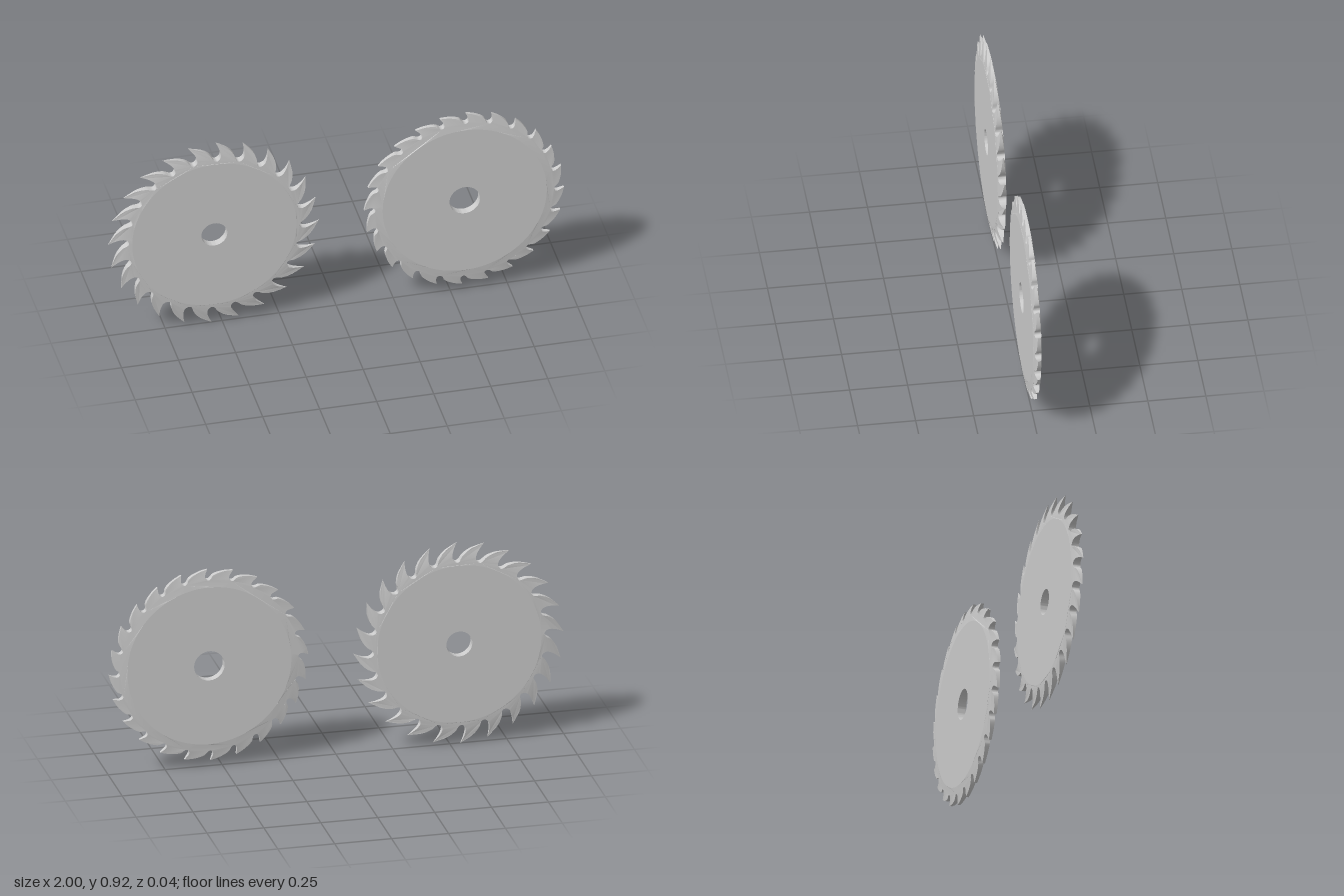
import * as THREE from 'three';
import { toCreasedNormals } from 'three/addons/utils/BufferGeometryUtils.js';

const TEETH = 24;
const PLATE_RADIUS = 0.36;
const HALF = 0.018;
const material = new THREE.MeshStandardMaterial({ color: 0xcccccc });

const polar = (deg, r) => {
  const a = THREE.MathUtils.degToRad(deg);
  return new THREE.Vector2(r * Math.cos(a), r * Math.sin(a));
};

// Flat disc with the arbor hole
function makePlate(hole) {
  const profile = [
    [PLATE_RADIUS, HALF], [hole, HALF], [hole, -HALF], [PLATE_RADIUS, -HALF],
  ].map(([r, y]) => new THREE.Vector2(r, y));
  const geo = new THREE.LatheGeometry(profile, 96).rotateX(Math.PI / 2);
  const mesh = new THREE.Mesh(toCreasedNormals(geo, 0.6), material);
  mesh.name = 'bladePlate';
  return mesh;
}

// Toothed rim, thinning from the plate towards the tips
function makeTeeth(tooth, tipHalf) {
  const pitch = 360 / TEETH;
  const tip = tooth[0][1];
  // One tooth from tip, down the hooked face, round the gullet and up the next back
  const curve = new THREE.SplineCurve(
    [...tooth, [pitch, tip]].map(([deg, r]) => polar(deg, r)));
  const step = curve.getPoints(20).slice(0, -1);

  const outline = [];
  for (let i = 0; i < TEETH; i++) {
    const turn = THREE.MathUtils.degToRad(i * pitch - 1);
    for (const p of step) outline.push(p.clone().rotateAround(new THREE.Vector2(), turn));
  }
  const shape = new THREE.Shape(outline);
  const inner = [];
  for (let i = 0; i < 96; i++) inner.push(polar(-i * 3.75, PLATE_RADIUS));
  shape.holes.push(new THREE.Path(inner));

  const geo = new THREE.ExtrudeGeometry(shape, { depth: 1, bevelEnabled: false });
  const pos = geo.attributes.position;
  for (let i = 0; i < pos.count; i++) {
    const r = Math.hypot(pos.getX(i), pos.getY(i));
    const u = THREE.MathUtils.clamp((r - PLATE_RADIUS) / (tip - PLATE_RADIUS), 0, 1);
    const half = tipHalf + (HALF - tipHalf) * (1 - Math.pow(u, 1.4));
    pos.setZ(i, pos.getZ(i) > 0.5 ? half : -half);
  }
  const mesh = new THREE.Mesh(toCreasedNormals(geo, 0.5), material);
  mesh.name = 'bladeTeeth';
  return mesh;
}

function makeBlade(name, x, y, hole, tooth, tipHalf) {
  const blade = new THREE.Group();
  blade.name = name;
  blade.add(makePlate(hole), makeTeeth(tooth, tipHalf));
  blade.position.set(x, y, 0);
  return blade;
}

export function createModel() {
  const model = new THREE.Group();
  model.name = 'circularSawBlades';

  // Tooth outlines as [degrees from tip, radius]
  const longTooth = [
    [0, 0.462], [-2, 0.432], [-3.2, 0.405], [-3, 0.387], [-1.4, 0.375],
    [0.6, 0.375], [2, 0.386], [3.6, 0.404], [8, 0.432],
  ];
  const shortTooth = [
    [0, 0.438], [-1.2, 0.418], [-1.6, 0.404], [-0.8, 0.394], [0.8, 0.391],
    [2.2, 0.398], [3.4, 0.41], [6, 0.42], [10.5, 0.431],
  ];
  model.add(
    makeBlade('coarseBlade', -0.538, 0.463, 0.057, longTooth, 0.001),
    makeBlade('fineBlade', 0.56, 0.467, 0.067, shortTooth, 0.006),
  );
  return model;
}
